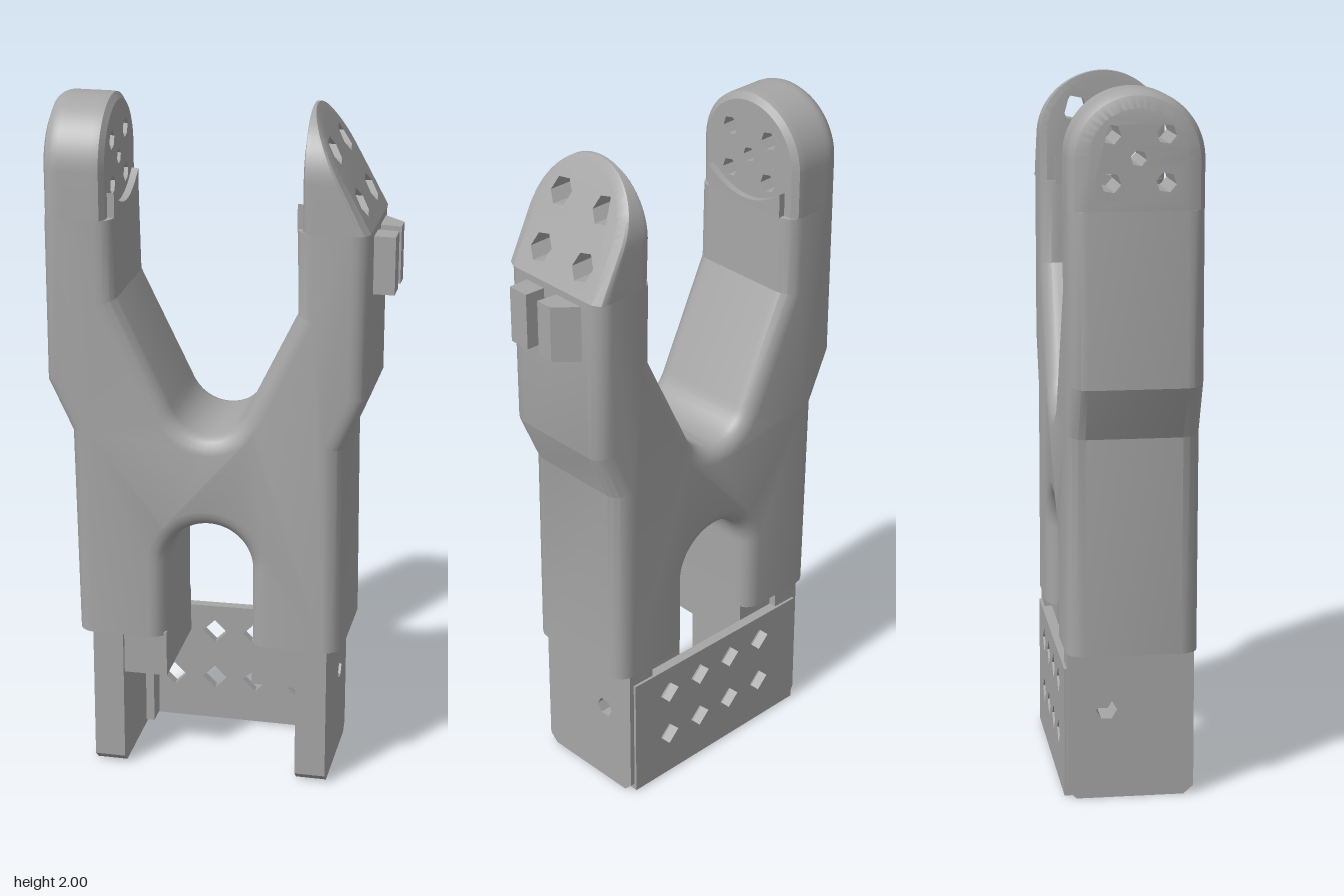
import * as THREE from 'three';
import { toCreasedNormals } from 'three/addons/utils/BufferGeometryUtils.js';

const grey = new THREE.MeshStandardMaterial({ color: 0xa6a6a6 });
grey.name = 'plain grey';
const R = 0.185;      // half depth of the fork
const CAP_Y = 1.815;  // centre of the rounded arm ends
const JOIN_Y = 1.68;  // where the arm ends begin

const polygon = (x, y, r, n, turn = 0) => {
  const pts = [];
  for (let i = 0; i < n; i++) {
    const a = turn - (i / n) * Math.PI * 2;
    pts.push(new THREE.Vector2(x + r * Math.cos(a), y + r * Math.sin(a)));
  }
  return new THREE.Path(pts);
};
const outline = (pts) => new THREE.Shape(pts.map(([x, y]) => new THREE.Vector2(x, y)));

export function createModel() {
  const group = new THREE.Group();
  const add = (name, geometry, crease = 0.42) => {
    const mesh = new THREE.Mesh(toCreasedNormals(geometry, crease), grey);
    mesh.name = name;
    group.add(mesh);
  };
  const box = (name, x0, x1, y0, y1, z0, z1) => {
    const g = new THREE.BoxGeometry(x1 - x0, y1 - y0, z1 - z0);
    add(name, g.translate((x0 + x1) / 2, (y0 + y1) / 2, (z0 + z1) / 2));
  };
  // Extrudes a (-z, y) outline along x
  const extrudeX = (shape, x0, x1) =>
    new THREE.ExtrudeGeometry(shape, { depth: x1 - x0, bevelEnabled: false, curveSegments: 16 })
      .rotateY(Math.PI / 2).translate(x0, 0, 0);

  // Forked body with a V above and an arch below; open ends are cut flat
  const s = new THREE.Shape();
  s.moveTo(-0.41, 0.3);
  s.lineTo(-0.145, 0.3);
  s.lineTo(-0.145, 0.665);
  s.absarc(-0.02, 0.665, 0.125, Math.PI, 0, true);
  s.lineTo(0.105, 0.3);
  s.lineTo(0.37, 0.3);
  s.lineTo(0.365, 1.05);
  s.lineTo(0.43, 1.2);
  s.lineTo(0.43, 1.8);
  s.lineTo(0.225, 1.8);
  s.lineTo(0.23, 1.44);
  s.lineTo(0.085, 1.14);
  s.bezierCurveTo(0.045, 1.035, -0.095, 1.035, -0.135, 1.14);
  s.lineTo(-0.285, 1.45);
  s.lineTo(-0.29, 1.8);
  s.lineTo(-0.49, 1.8);
  s.lineTo(-0.49, 1.2);
  s.lineTo(-0.42, 1.05);
  s.closePath();
  const b = 0.05;
  const body = new THREE.ExtrudeGeometry(s, {
    depth: 2 * R - 2 * b, bevelThickness: b, bevelSize: b, bevelOffset: -b,
    bevelSegments: 4, curveSegments: 16,
  }).translate(0, 0, b - R);
  const bp = body.attributes.position;
  for (let i = 0; i < bp.count; i++) bp.setY(i, THREE.MathUtils.clamp(bp.getY(i), 0.43, JOIN_Y));
  add('forkBody', body);

  // Rounded arm ends with bolt holes; edges rounded by edgeA (low x) and edgeB (high x)
  const armEnd = (name, xA, xB, edgeA, edgeB, holes) => {
    const shape = new THREE.Shape();
    shape.moveTo(-R, JOIN_Y);
    shape.lineTo(R, JOIN_Y);
    shape.lineTo(R, CAP_Y);
    shape.absarc(0, CAP_Y, R, 0, Math.PI, false);
    shape.closePath();
    shape.holes = holes.map(([z, y, r]) => polygon(z, y, r, 6, 0.2));
    const g = new THREE.ExtrudeGeometry(shape, { depth: 1, steps: 14, bevelEnabled: false, curveSegments: 24 });
    const p = g.attributes.position;
    const inset = (d, e) => e * (1 - Math.sqrt(1 - (1 - Math.min(d / e, 1)) ** 2));
    for (let i = 0; i < p.count; i++) {
      let z = p.getX(i), y = p.getY(i);
      const t = p.getZ(i);
      if (Math.hypot(z, Math.max(0, y - CAP_Y)) > 0.18) {
        const k = 1 - Math.max(inset(t * 0.18, edgeA), inset((1 - t) * 0.18, edgeB)) / R;
        z *= k;
        if (y > CAP_Y) y = CAP_Y + (y - CAP_Y) * k;
      }
      p.setXYZ(i, THREE.MathUtils.lerp(xA(y), xB(y), t), y, -z);
    }
    add(name, g);
  };
  const holeGrid = (dz, dy, r) =>
    [-1, 1].flatMap((i) => [-1, 1].map((j) => [i * dz, 1.82 + j * dy, r]));
  armEnd('rightArmEnd', () => -0.49, () => -0.31, 0.05, 0.02,
    [...holeGrid(0.074, 0.064, 0.028), [0, 1.82, 0.022]]);
  armEnd('leftArmEnd', () => 0.245, (y) => 0.43 - (y - JOIN_Y) * 0.545, 0.02, 0.03,
    holeGrid(0.082, 0.07, 0.038));

  // Raised inner lips with a curved top edge below each bolt face
  for (const [name, x0, x1] of [['rightArmLip', -0.315, -0.29], ['leftArmLip', 0.225, 0.25]]) {
    const lip = new THREE.Shape();
    lip.moveTo(-0.14, JOIN_Y - 0.01);
    lip.lineTo(0.14, JOIN_Y - 0.01);
    lip.lineTo(0.14, 1.75);
    lip.quadraticCurveTo(0, 1.64, -0.14, 1.75);
    add(name, extrudeX(lip, x0, x1));
  }

  // Pair of clips on the outside of the left arm
  const clips = [
    [[0.42, 0.125], [0.42, 0.02], [0.49, 0.01], [0.49, 0.06]],
    [[0.42, -0.03], [0.42, -0.1], [0.49, -0.1], [0.49, -0.035]],
  ];
  clips.forEach((pts, i) => {
    const g = new THREE.ExtrudeGeometry(outline(pts), { depth: 0.165, bevelEnabled: false });
    add(i ? 'frontClip' : 'backClip', g.rotateX(-Math.PI / 2).translate(0, 1.495, 0));
  });

  // Leg ends inside the bracket
  box('rightLegEnd', -0.3, -0.147, 0.3, 0.44, -0.157, 0.165);
  box('leftLegEnd', 0.107, 0.26, 0.3, 0.44, -0.157, 0.165);

  // Bracket side walls with a pin hole
  for (const [name, x0, x1] of [['rightBracketWall', -0.365, -0.275], ['leftBracketWall', 0.24, 0.33]]) {
    const wall = outline([[-0.15, 0], [0.155, 0], [0.18, 0.025], [0.18, 0.44], [-0.178, 0.44], [-0.178, 0.025]]);
    wall.holes.push(polygon(0.07, 0.26, 0.03, 6));
    add(name, extrudeX(wall, x0, x1));
  }

  // Bracket back plate with two rows of diamond holes
  const plate = outline([[-0.35, 0.005], [0.315, 0.005], [0.315, 0.39], [-0.35, 0.38]]);
  for (const x of [-0.2, -0.073, 0.052, 0.178]) {
    for (const y of [0.145, 0.3]) plate.holes.push(polygon(x, y, 0.037, 4));
  }
  add('bracketBackPlate', new THREE.ExtrudeGeometry(plate, { depth: 0.03, bevelEnabled: false })
    .translate(0, 0, -0.188));

  // Small corner ribs between the plate and the walls
  box('rightCornerRib', -0.28, -0.25, 0.01, 0.3, -0.16, -0.09);
  box('leftCornerRib', 0.23, 0.245, 0.01, 0.3, -0.16, -0.09);
  return group;
}
